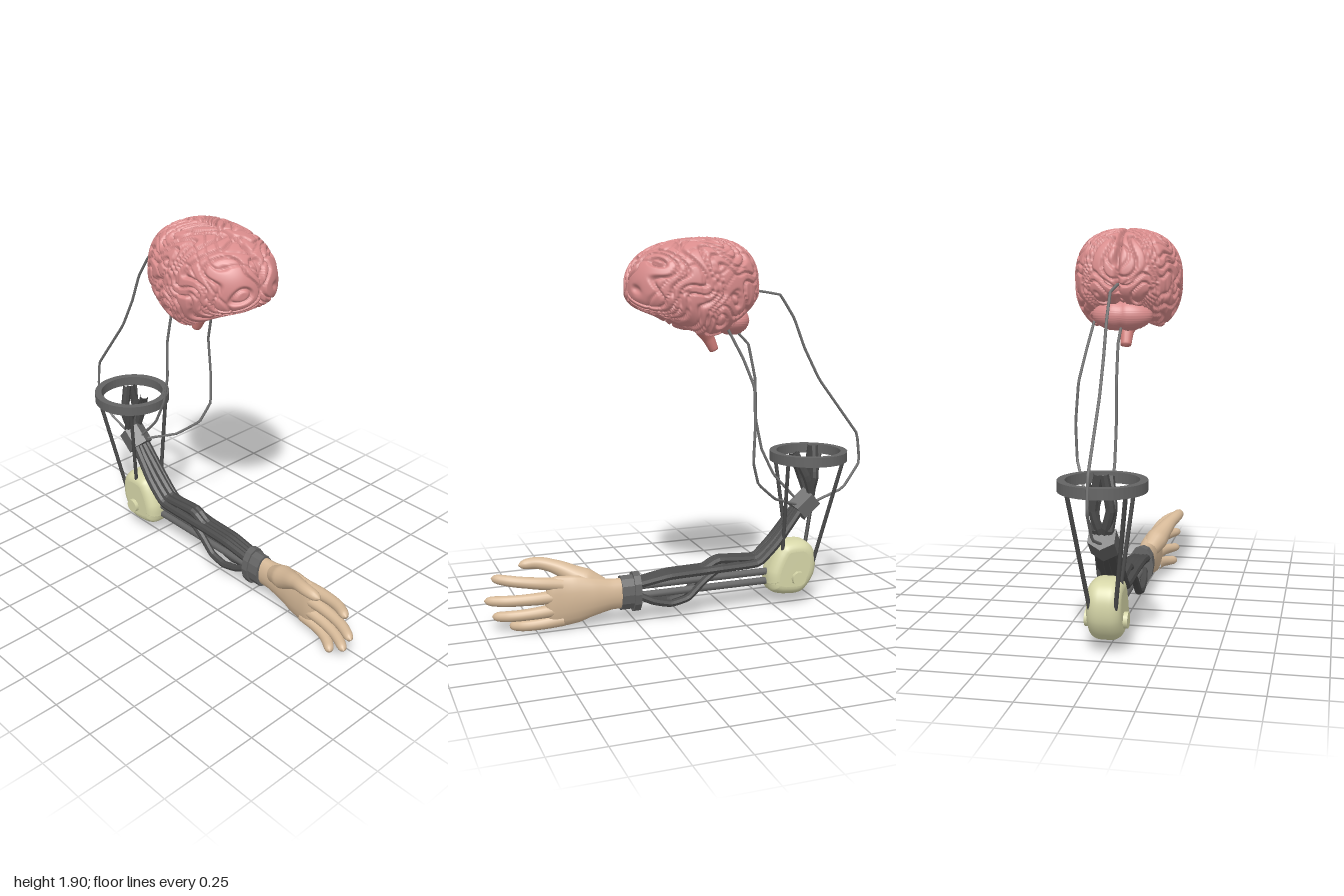
import * as THREE from 'three';
import { mergeVertices } from 'three/addons/utils/BufferGeometryUtils.js';

const mat = (name, color) => {
  const m = new THREE.MeshStandardMaterial({ color });
  m.name = name;
  return m;
};
const V = (p) => new THREE.Vector3(...p);

// welds vertices for smooth normals
function smooth(g) {
  g.deleteAttribute('uv');
  g.deleteAttribute('normal');
  const s = mergeVertices(g, 1e-5);
  s.computeVertexNormals();
  return s;
}

// splits faces for a faceted look
function facet(g) {
  const f = g.index ? g.toNonIndexed() : g;
  f.computeVertexNormals();
  return f;
}

// moves every vertex by a rule
function reshape(g, rule) {
  const p = g.attributes.position, v = new THREE.Vector3();
  for (let i = 0; i < p.count; i++) {
    v.fromBufferAttribute(p, i);
    rule(v, i);
    p.setXYZ(i, v.x, v.y, v.z);
  }
  return g;
}

// samples a list of numbers at t in 0..1
function at(list, t) {
  const f = t * (list.length - 1), i = Math.min(Math.floor(f), list.length - 2);
  return THREE.MathUtils.lerp(list[i], list[i + 1], f - i);
}

// soft tapered limb with rounded tip; rx is the half thickness, r the half height
function limb(points, r, rx = r, round = 0.12) {
  const n = 28, sides = 16;
  const curve = new THREE.CatmullRomCurve3(points.map(V));
  const g = new THREE.TubeGeometry(curve, n, 1, sides);
  return smooth(reshape(g, (v, i) => {
    const t = Math.floor(i / (sides + 1)) / n, c = curve.getPointAt(t);
    const e = Math.max(0, (t - 1 + round) / round), k = Math.sqrt(Math.max(0.0001, 1 - e * e));
    v.sub(c);
    v.set(v.x * at(rx, t) * k, v.y * at(r, t) * k, v.z * at(r, t) * k).add(c);
  }));
}

// straight rod between two points
function rod(a, b, r, sides = 8) {
  const A = V(a), B = V(b), d = B.clone().sub(A);
  const g = new THREE.CylinderGeometry(r, r, d.length(), sides);
  g.applyQuaternion(new THREE.Quaternion().setFromUnitVectors(new THREE.Vector3(0, 1, 0), d.normalize()));
  const m = A.add(B).multiplyScalar(0.5);
  return g.translate(m.x, m.y, m.z);
}

// bent cord through the given points
function cord(points, r, sides, bend = 0.2) {
  const curve = new THREE.CatmullRomCurve3(points.map(V), false, 'catmullrom', bend);
  return new THREE.TubeGeometry(curve, points.length * 5, r, sides);
}

// cerebrum: rounded box-like ovoid with winding furrows and a midline cleft
function cerebrumGeometry() {
  return smooth(reshape(new THREE.SphereGeometry(1, 230, 150), (v) => {
    const d = v.clone();
    const k = (Math.abs(d.x) ** 2.5 + Math.abs(d.y) ** 2.5 + Math.abs(d.z) ** 2.5) ** -0.4;
    const u = d.clone().multiplyScalar(k);
    const low = 0.13 + 0.12 * Math.min(1, Math.abs(u.x) * 1.6) * Math.exp(-(((u.z + 0.15) / 0.55) ** 2));
    v.set(u.x * (0.25 - 0.03 * Math.max(0, u.z)), 1.66 + u.y * (u.y > 0 ? 0.24 : low), -0.045 + u.z * 0.325);
    v.y -= u.y > 0 ? 0.025 * u.z * u.y : 0;
    const x = Math.abs(v.x), y = v.y - 1.66, z = v.z;
    const phase = 38 * z + 26 * y + 14 * x + 2.3 * Math.sin(23 * x + 15 * z + 1)
      + 2.1 * Math.sin(27 * y - 17 * z) + 1.4 * Math.sin(39 * z + 29 * x + 2 + Math.sign(v.x) * 0.4);
    const furrow = Math.exp(-((Math.sin(phase) / 0.3) ** 2));
    const cross = Math.exp(-((Math.sin(30 * x - 22 * y + 2.4 * Math.sin(24 * z + 9 * y)) / 0.2) ** 2));
    const cleft = Math.exp(-((v.x / 0.009) ** 2)) * (u.y > -0.4 ? 1 : 0.3);
    v.addScaledVector(d, 0.004 - 0.02 * furrow - 0.009 * cross * (1 - furrow) - 0.03 * cleft);
  }));
}

export function createModel() {
  const root = new THREE.Group();
  root.name = 'brainWithMechanicalArm';
  const pink = mat('brainPink', 0xd98c8c), rose = mat('stemRose', 0xd2807c);
  const skin = mat('handTan', 0xd6b998), bone = mat('elbowCream', 0xd6d6a8);
  const dark = mat('muscleGrey', 0x4a4a4a), steel = mat('steelGrey', 0x646464), wire = mat('nerveGrey', 0x757575);
  const add = (name, g, m, parent = root) => {
    const mesh = new THREE.Mesh(g, m);
    mesh.name = name;
    parent.add(mesh);
    return mesh;
  };
  const group = (name) => {
    const g = new THREE.Group();
    g.name = name;
    root.add(g);
    return g;
  };

  // brain
  const brain = group('brain');
  add('cerebrum', cerebrumGeometry(), pink, brain);
  const cerebellum = reshape(new THREE.SphereGeometry(1, 48, 48), (v) => {
    const s = 1 - 0.03 * Math.sin(v.y * 28) ** 2 - 0.12 * Math.exp(-((v.x / 0.12) ** 2));
    v.set(v.x * 0.145 * s, 1.505 + v.y * 0.077 * s, -0.245 + v.z * 0.09 * s);
  });
  add('cerebellum', smooth(cerebellum), pink, brain);
  add('brainStem', limb([[0, 1.54, -0.06], [0, 1.46, -0.11], [0, 1.41, -0.14], [0, 1.35, -0.17]],
    [0.07, 0.045, 0.03, 0.022], [0.085, 0.06, 0.032, 0.026], 0.05), rose, brain);

  // nerve cords from brain to clamp
  const nerves = group('nerves');
  const nervePaths = [
    [[0, 1.65, -0.35], [0, 1.62, -0.52], [0, 1.5, -0.6], [0, 1.35, -0.66], [0, 1.18, -0.75], [0, 0.885, -0.975],
      [0, 0.73, -0.994], [0, 0.595, -0.9], [0, 0.53, -0.72]],
    [[0, 1.46, -0.27], [0, 1.38, -0.35], [0, 1.2, -0.39], [0, 1, -0.395], [0, 0.84, -0.43], [0, 0.7, -0.5], [0, 0.56, -0.63]],
    [[0.15, 1.47, -0.18], [0.175, 1.33, -0.25], [0.2, 1.19, -0.3], [0.215, 1, -0.3], [0.21, 0.82, -0.295],
      [0.17, 0.7, -0.34], [0.11, 0.6, -0.46], [0.02, 0.53, -0.64]],
  ];
  nervePaths.forEach((p, i) => add('nerve' + (i + 1), cord(p, 0.007, 6, 0.05), wire, nerves));

  // shoulder ring
  const ringShape = new THREE.Shape().absarc(0, 0, 0.2, 0, Math.PI * 2);
  ringShape.holes.push(new THREE.Path().absarc(0, 0, 0.165, 0, Math.PI * 2, true));
  const ring = new THREE.ExtrudeGeometry(ringShape, { depth: 0.05, bevelEnabled: false, curveSegments: 28 });
  add('shoulderRing', ring.rotateX(-Math.PI / 2).translate(0, 0.765, -0.695), steel);

  // struts from ring to elbow
  [
    [[0.1, 0.78, -0.535], [0.045, 0.25, -0.535]], [[-0.12, 0.78, -0.56], [-0.06, 0.28, -0.61]],
    [[0.13, 0.78, -0.83], [0.055, 0.2, -0.7]], [[-0.13, 0.78, -0.83], [-0.055, 0.2, -0.7]],
  ].forEach(([a, b], i) => add('strut' + (i + 1), rod(a, b, 0.01), dark));

  // elbow block with side knobs
  const outline = new THREE.Shape();
  outline.moveTo(-0.46, 0.13);
  outline.splineThru([[-0.465, 0.2], [-0.51, 0.3], [-0.56, 0.342], [-0.67, 0.338], [-0.725, 0.27], [-0.72, 0.16],
    [-0.65, 0.07], [-0.55, 0.063], [-0.48, 0.085], [-0.46, 0.13]].map((p) => new THREE.Vector2(...p)));
  const elbow = new THREE.ExtrudeGeometry(outline, {
    depth: 0.04, bevelThickness: 0.06, bevelSize: 0.05, bevelOffset: -0.05, bevelSegments: 7, curveSegments: 36,
  });
  add('elbow', smooth(elbow.translate(0, 0, -0.02).rotateY(-Math.PI / 2)), bone);
  add('elbowKnobs', new THREE.CylinderGeometry(0.038, 0.038, 0.2, 10).rotateZ(Math.PI / 2).translate(0, 0.155, -0.613), bone);

  // forearm bars
  for (const y of [0.135, 0.185]) add('forearmBar', rod([0, y, 0.28], [0, y, -0.5], 0.019, 10), steel);

  // muscle cords, forearm to shoulder
  const muscles = group('muscles');
  const upper = (s, dy, end) => [[s * 0.03, 0.2, 0.26], [s * 0.035, 0.23, 0.08], [s * 0.035, 0.235, -0.1],
    [s * 0.04, 0.24 + dy, -0.19], [s * 0.045, 0.25 + dy * 0.5, -0.4], [s * 0.045, 0.35 + dy * 0.4, -0.51],
    [s * 0.035, 0.5, -0.63], [s * 0.03, 0.58, -0.7], ...end];
  const frontEnd = (s) => [[s * 0.04, 0.68, -0.67], [s * 0.015, 0.81, -0.61]];
  const backEnd = (s) => [[s * 0.04, 0.68, -0.715], [s * 0.012, 0.84, -0.72]];
  for (const s of [1, -1]) {
    add('frontMuscle', facet(cord(upper(s, 0, frontEnd(s)), 0.022, 8)), dark, muscles);
    add('backMuscle', facet(cord(upper(s * 0.4, 0.04, backEnd(s)), 0.022, 8)), dark, muscles);
    add('lowerMuscle', facet(cord([[s * 0.015, 0.15, 0.26], [s * 0.03, 0.105, 0.16], [s * 0.035, 0.085, 0.07],
      [s * 0.035, 0.105, -0.02], [s * 0.035, 0.18, -0.1], [s * 0.035, 0.235, -0.18], [s * 0.03, 0.25, -0.3]], 0.019, 8)), dark, muscles);
  }

  // clamp around the muscles
  const clamp = add('clamp', facet(new THREE.CylinderGeometry(0.07, 0.07, 0.11, 6)), steel);
  clamp.position.set(0, 0.53, -0.675);
  clamp.rotation.x = -0.85;

  // wrist cuff with flange
  const cuff = (r, len, z) => facet(new THREE.CylinderGeometry(r, r, len, 12).rotateX(Math.PI / 2).scale(0.65, 1, 1).translate(0, 0.16, z));
  add('wristCuff', cuff(0.09, 0.09, 0.285), steel);
  add('wristFlange', cuff(0.104, 0.035, 0.25), steel);

  // hand
  const hand = group('hand');
  add('palm', limb([[0.003, 0.16, 0.3], [0.003, 0.16, 0.4], [0, 0.158, 0.5], [-0.01, 0.15, 0.6], [-0.018, 0.148, 0.71]],
    [0.078, 0.08, 0.1, 0.122, 0.13, 0.13], [0.045, 0.047, 0.05, 0.046, 0.038, 0.032], 0.14), skin, hand);
  // knuckle height, tip height, tip depth
  [[0.235, 0.278, 0.955], [0.175, 0.165, 0.992], [0.11, 0.08, 0.955], [0.055, 0.024, 0.87]].forEach(([y0, y1, z], i) => {
    const mid = (k) => THREE.MathUtils.lerp(y0, y1, k), zz = (k) => THREE.MathUtils.lerp(0.62, z, k);
    add('finger' + (i + 1), limb([[-0.012, y0, 0.62], [-0.02, mid(0.4), zz(0.4)], [-0.045, mid(0.72), zz(0.72)], [-0.095, y1, z]],
      [0.034, 0.031, 0.028, 0.027, 0.022]), skin, hand);
  });
  add('thumb', limb([[-0.015, 0.2, 0.42], [-0.05, 0.25, 0.53], [-0.09, 0.3, 0.63], [-0.12, 0.322, 0.72], [-0.122, 0.318, 0.815]],
    [0.045, 0.06, 0.046, 0.034, 0.03, 0.024]), skin, hand);
  return root;
}
